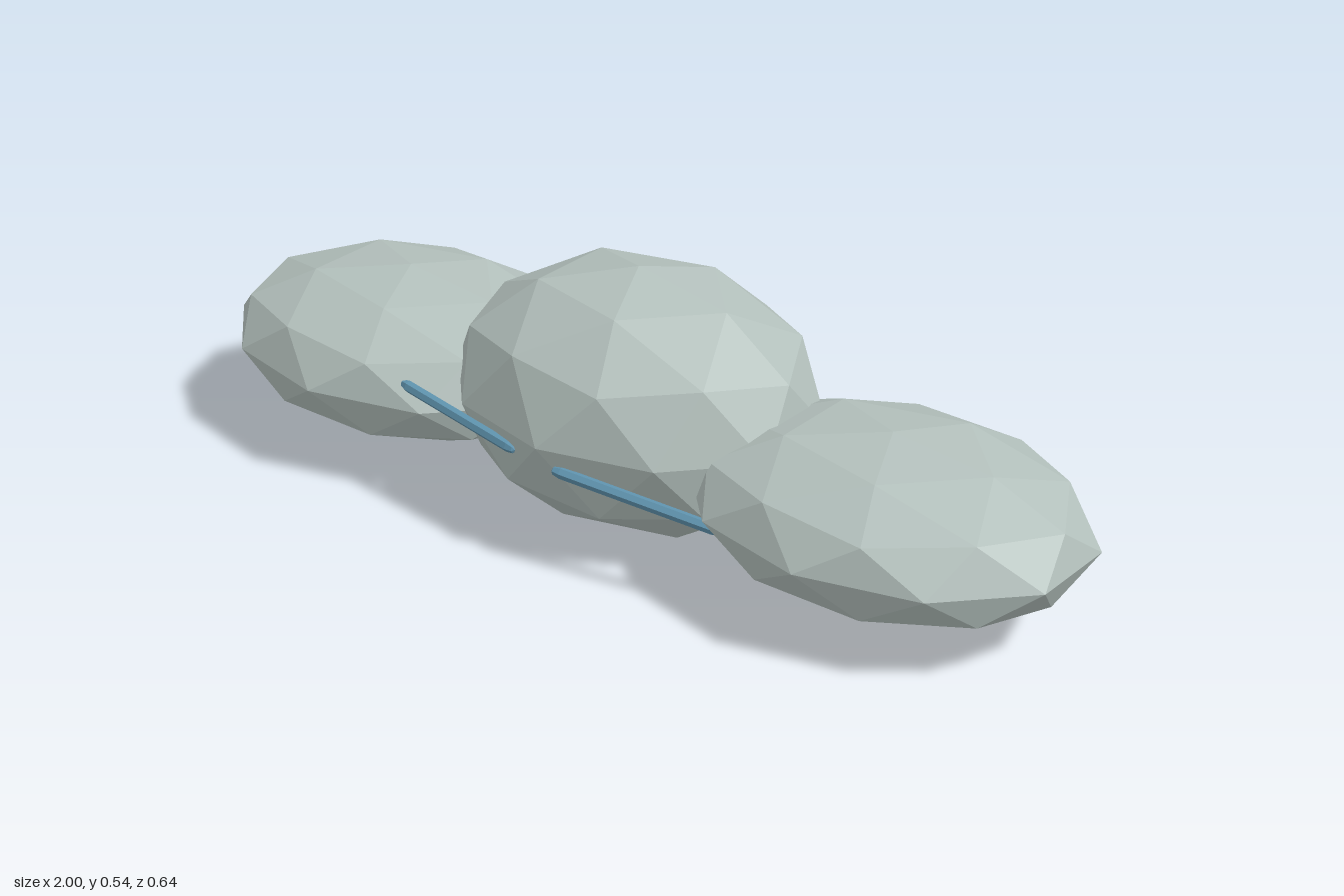
import * as THREE from 'three';

const cloudGrey = new THREE.MeshStandardMaterial({ color: 0xb3c0bc, flatShading: true });
cloudGrey.name = 'cloudGrey';
const windBlue = new THREE.MeshStandardMaterial({ color: 0x5f93ae, flatShading: true });
windBlue.name = 'windBlue';

// Faceted ellipsoid puff with a vertex at the pole and a level ten-sided equator
function puff(name, x, y, rx, ry, rz) {
  const geo = new THREE.IcosahedronGeometry(1, 1);
  geo.rotateZ(-Math.atan(2 / (1 + Math.sqrt(5))));
  geo.scale(rx, ry, rz);
  geo.computeVertexNormals();
  const mesh = new THREE.Mesh(geo, cloudGrey);
  mesh.name = name;
  mesh.position.set(x, y, 0);
  return mesh;
}

// Thin rod with slightly tapered tips between two points
function streak(name, from, to) {
  const a = new THREE.Vector3(...from), b = new THREE.Vector3(...to);
  const h = a.distanceTo(b) / 2, r = 0.012;
  const profile = [[0, -h], [r * 0.7, -h + 0.004], [r, -h + 0.02], [r, h - 0.02], [r * 0.7, h - 0.004], [0, h]];
  const geo = new THREE.LatheGeometry(profile.map(p => new THREE.Vector2(...p)), 6);
  const mesh = new THREE.Mesh(geo, windBlue);
  mesh.name = name;
  mesh.position.copy(a).add(b).multiplyScalar(0.5);
  mesh.quaternion.setFromUnitVectors(new THREE.Vector3(0, 1, 0), b.sub(a).normalize());
  return mesh;
}

export function createModel() {
  const cloud = new THREE.Group();
  cloud.name = 'cloud';
  cloud.add(
    puff('middlePuff', 0, 0.272, 0.405, 0.27, 0.32),
    puff('rightPuff', -0.6, 0.214, 0.42, 0.17, 0.32),
    puff('leftPuff', 0.6, 0.207, 0.42, 0.162, 0.32),
    // Wind streaks lying across the front
    streak('rightStreak', [-0.41, 0.26, 0.243], [-0.07, 0.238, 0.297]),
    streak('leftStreak', [0.03, 0.232, 0.307], [0.39, 0.19, 0.243])
  );
  return cloud;
}
